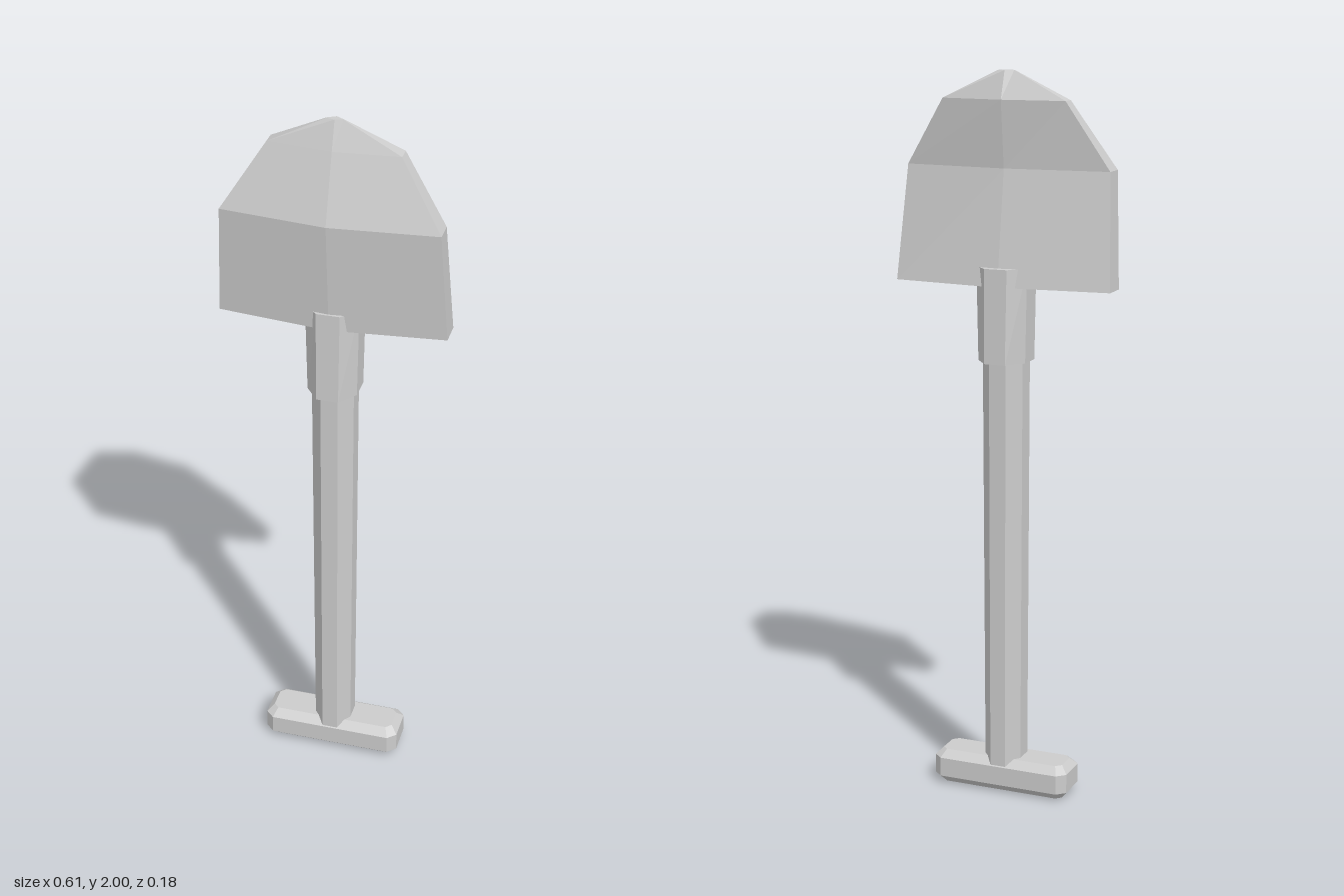
import * as THREE from 'three';

// Skins a stack of rings (bottom to top, each running front -> +x -> back) and caps both ends
function loft(rings) {
  const pos = [];
  const tri = (a, b, c) => pos.push(...a, ...b, ...c);
  const n = rings[0].length;
  for (let i = 0; i < rings.length - 1; i++) {
    const lo = rings[i], hi = rings[i + 1];
    for (let j = 0; j < n; j++) {
      const k = (j + 1) % n;
      tri(lo[j], lo[k], hi[k]);
      tri(lo[j], hi[k], hi[j]);
    }
  }
  const bottom = rings[0], top = rings[rings.length - 1];
  for (let j = 1; j < n - 1; j++) {
    tri(bottom[0], bottom[j + 1], bottom[j]);
    tri(top[0], top[j], top[j + 1]);
  }
  const g = new THREE.BufferGeometry();
  g.setAttribute('position', new THREE.Float32BufferAttribute(pos, 3));
  g.computeVertexNormals();
  return g;
}

// Eight-sided ring: half sizes hx, hz, with flats of half width fx (front) and fz (side)
function octagon(y, hx, hz, fx, fz, cz = -0.006) {
  return [[-fx, hz], [fx, hz], [hx, fz], [hx, -fz], [fx, -hz], [-fx, -hz], [-hx, -fz], [-hx, fz]]
    .map(([x, z]) => [x, y, z + cz]);
}

// Lens-shaped blade ring: half width, then z of front ridge, front edge, back edge, back ridge
function lens(y, hx, front, edgeF, edgeB, back) {
  return [[0, y, front], [hx, y, edgeF], [hx, y, edgeB], [0, y, back], [-hx, y, edgeB], [-hx, y, edgeF]];
}

export function createModel() {
  const group = new THREE.Group();
  const steel = new THREE.MeshStandardMaterial({ color: 0xcccccc });
  steel.name = 'light grey';

  const add = (name, rings) => {
    const mesh = new THREE.Mesh(loft(rings), steel);
    mesh.name = name;
    group.add(mesh);
  };

  // Cranked blade, thick along its middle ridge
  add('blade', [
    lens(1.435, 0.307, 0.06, 0.027, -0.041, -0.07),
    lens(1.745, 0.289, 0.087, 0.058, 0, -0.024),
    lens(1.925, 0.174, 0.029, 0.011, -0.027, -0.044),
    lens(2, 0.022, 0.003, -0.002, -0.005, -0.018),
  ]);

  // Socket pushed up into the blade
  add('socket', [
    octagon(1.23, 0.068, 0.083, 0.03, 0.033),
    octagon(1.485, 0.073, 0.076, 0.032, 0.033),
  ]);

  // Slightly tapering shaft
  add('shaft', [
    octagon(0.06, 0.053, 0.064, 0.022, 0.026),
    octagon(1.25, 0.058, 0.064, 0.024, 0.026),
  ]);

  // Bevelled grip bar
  add('gripBar', [
    octagon(0, 0.18, 0.043, 0.165, 0.028),
    octagon(0.023, 0.199, 0.067, 0.175, 0.045),
    octagon(0.077, 0.199, 0.067, 0.175, 0.045),
    octagon(0.097, 0.18, 0.043, 0.165, 0.028),
  ]);

  return group;
}
